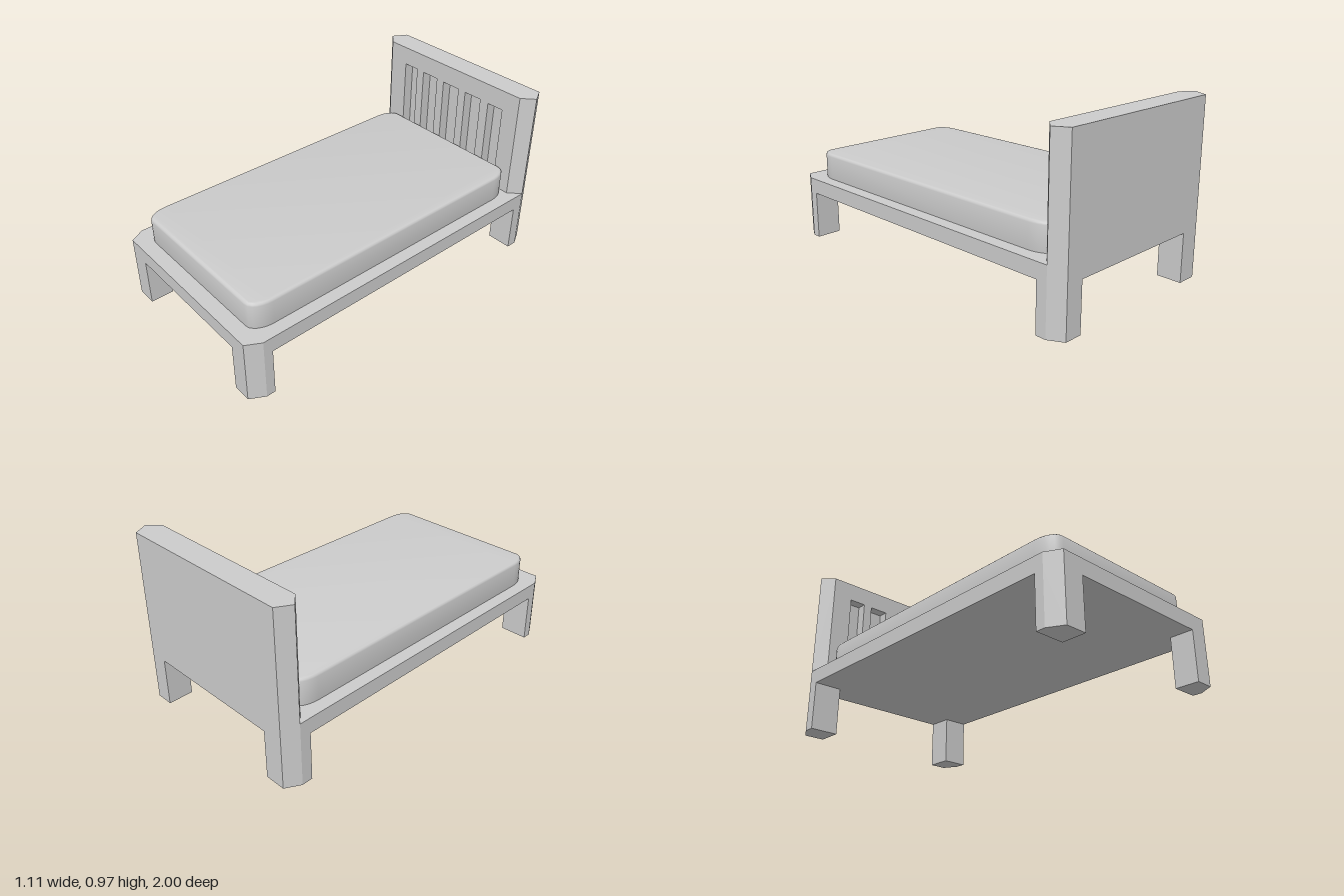
import * as THREE from 'three';
import { toCreasedNormals } from 'three/addons/utils/BufferGeometryUtils.js';

const material = new THREE.MeshStandardMaterial({ color: 0xcccccc });
const DECK = 0.355, RAIL = 0.27, TOP = 0.965;

function part(group, name, geometry) {
  const mesh = new THREE.Mesh(geometry, material);
  mesh.name = name;
  group.add(mesh);
  return mesh;
}

// Extrude a plan outline of [x, z] points upward from y0 to y1
function prism(points, y0, y1) {
  let outline = points.map(([x, z]) => new THREE.Vector2(x, -z));
  if (THREE.ShapeUtils.isClockWise(outline)) outline = outline.reverse();
  return new THREE.ExtrudeGeometry(new THREE.Shape(outline), { depth: y1 - y0, bevelEnabled: false })
    .rotateX(-Math.PI / 2)
    .translate(0, y0, 0);
}

// Front layer of the headboard: five recessed slots, ends splayed toward the back
function slottedPanel() {
  const depth = 0.06;
  const shape = new THREE.Shape();
  shape.moveTo(-0.49, DECK).lineTo(0.49, DECK).lineTo(0.49, TOP).lineTo(-0.49, TOP).closePath();
  const slots = [
    [-0.37, -0.273, 0.86], [-0.22, -0.11, 0.858], [-0.057, 0.06, 0.855],
    [0.112, 0.225, 0.854], [0.282, 0.383, 0.851],
  ];
  for (const [x0, x1, top] of slots) {
    const hole = new THREE.Path();
    hole.moveTo(x0, 0.4).lineTo(x0, top).lineTo(x1, top).lineTo(x1, 0.4).closePath();
    shape.holes.push(hole);
  }
  const geometry = new THREE.ExtrudeGeometry(shape, { depth, bevelEnabled: false });
  const pos = geometry.attributes.position;
  for (let i = 0; i < pos.count; i++) {
    const x = pos.getX(i);
    if (Math.abs(x) > 0.48 && pos.getZ(i) < depth / 2) pos.setX(i, Math.sign(x) * 0.555);
  }
  geometry.translate(0, 0, -0.92);
  geometry.computeVertexNormals();
  return geometry;
}

// Rounded slab with a soft upper edge; its lower edge is sunk into the deck
function mattressGeometry() {
  const bevel = 0.016, w = 0.483 - bevel, front = -0.917 + bevel, back = 0.856 - bevel;
  const rx = 0.055, rz = 0.1, k = 0.45;
  const s = new THREE.Shape();
  s.moveTo(-w + rx, front);
  s.lineTo(w - rx, front);
  s.bezierCurveTo(w - rx * k, front, w, front + rz * k, w, front + rz);
  s.lineTo(w, back - rz);
  s.bezierCurveTo(w, back - rz * k, w - rx * k, back, w - rx, back);
  s.lineTo(-w + rx, back);
  s.bezierCurveTo(-w + rx * k, back, -w, back - rz * k, -w, back - rz);
  s.lineTo(-w, front + rz);
  s.bezierCurveTo(-w, front + rz * k, -w + rx * k, front, -w + rx, front);
  const geometry = new THREE.ExtrudeGeometry(s, {
    depth: 0.15, curveSegments: 6, bevelSize: bevel, bevelThickness: bevel, bevelSegments: 3,
  });
  geometry.rotateX(-Math.PI / 2).translate(0, 0.503 - 0.15 - bevel, 0);
  return toCreasedNormals(geometry, 0.7);
}

export function createModel() {
  const bed = new THREE.Group();
  bed.name = 'bed';

  // Bed base with clipped corners
  part(bed, 'frame', prism([
    [-0.51, 1], [0.51, 1], [0.555, 0.92], [0.555, -0.92],
    [0.51, -1], [-0.51, -1], [-0.555, -0.92], [-0.555, 0.92],
  ], RAIL, DECK));

  // Four legs following the clipped corners
  for (const [side, label, inner] of [[1, 'Left', 0.41], [-1, 'Right', 0.395]]) {
    for (const [end, endLabel, z] of [[1, 'front', 0.87], [-1, 'back', 0.86]]) {
      const plan = [[inner, 1], [0.51, 1], [0.555, 0.92], [0.555, z], [inner, z]];
      part(bed, `${endLabel}${label}Leg`, prism(plan.map(([x, d]) => [x * side, d * end]), 0, RAIL));
    }
  }

  // Headboard: solid back layer plus slotted front layer
  const headboard = new THREE.Group();
  headboard.name = 'headboard';
  part(headboard, 'headboardBack', prism(
    [[-0.555, -0.92], [0.555, -0.92], [0.51, -1], [-0.51, -1]], DECK, TOP));
  part(headboard, 'headboardSlats', slottedPanel());
  bed.add(headboard);

  part(bed, 'mattress', mattressGeometry());
  return bed;
}
